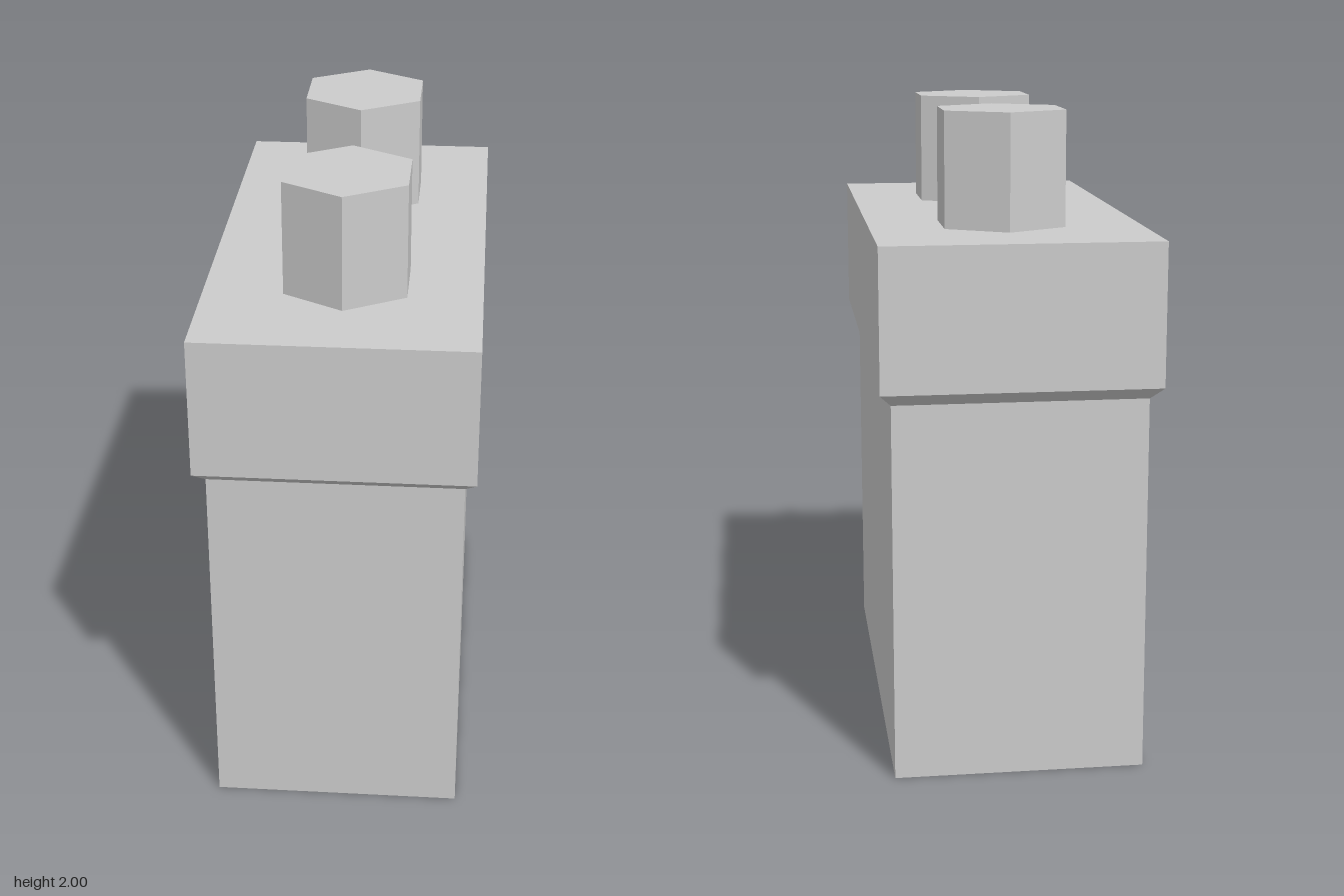
import * as THREE from 'three';

const BODY = { w: 0.77, d: 1.565, top: 1.17 };
const CAP = { w: 0.84, d: 1.666, bottom: 1.21, top: 1.645 };

export function createModel() {
  const group = new THREE.Group();
  const material = new THREE.MeshStandardMaterial({ color: 0xcccccc, flatShading: true });

  const add = (name, geometry, x, y, z) => {
    const mesh = new THREE.Mesh(geometry, material);
    mesh.name = name;
    mesh.position.set(x, y, z);
    group.add(mesh);
  };
  // Box standing between two heights
  const slab = (w, d, y0, y1) => new THREE.BoxGeometry(w, y1 - y0, d).translate(0, (y0 + y1) / 2, 0);

  // Main block and the wider cap above it
  add('body', slab(BODY.w, BODY.d, 0, BODY.top), 0, 0, 0);
  add('cap', slab(CAP.w, CAP.d, CAP.bottom, CAP.top), 0, 0, 0);

  // Sloped collar: a box whose lower corners are drawn in to the body
  const collar = slab(CAP.w, CAP.d, BODY.top, CAP.bottom);
  const p = collar.attributes.position;
  for (let i = 0; i < p.count; i++) {
    if (p.getY(i) < (BODY.top + CAP.bottom) / 2) {
      p.setX(i, Math.sign(p.getX(i)) * BODY.w / 2);
      p.setZ(i, Math.sign(p.getZ(i)) * BODY.d / 2);
    }
  }
  collar.computeVertexNormals();
  add('collar', collar, 0, 0, 0);

  // Two hexagonal posts, corners pointing along z
  const height = 2 - CAP.top;
  for (const [name, z] of [['frontPost', 0.377], ['backPost', -0.377]]) {
    add(name, new THREE.CylinderGeometry(0.214, 0.214, height, 6), 0.008, CAP.top + height / 2, z);
  }
  return group;
}
